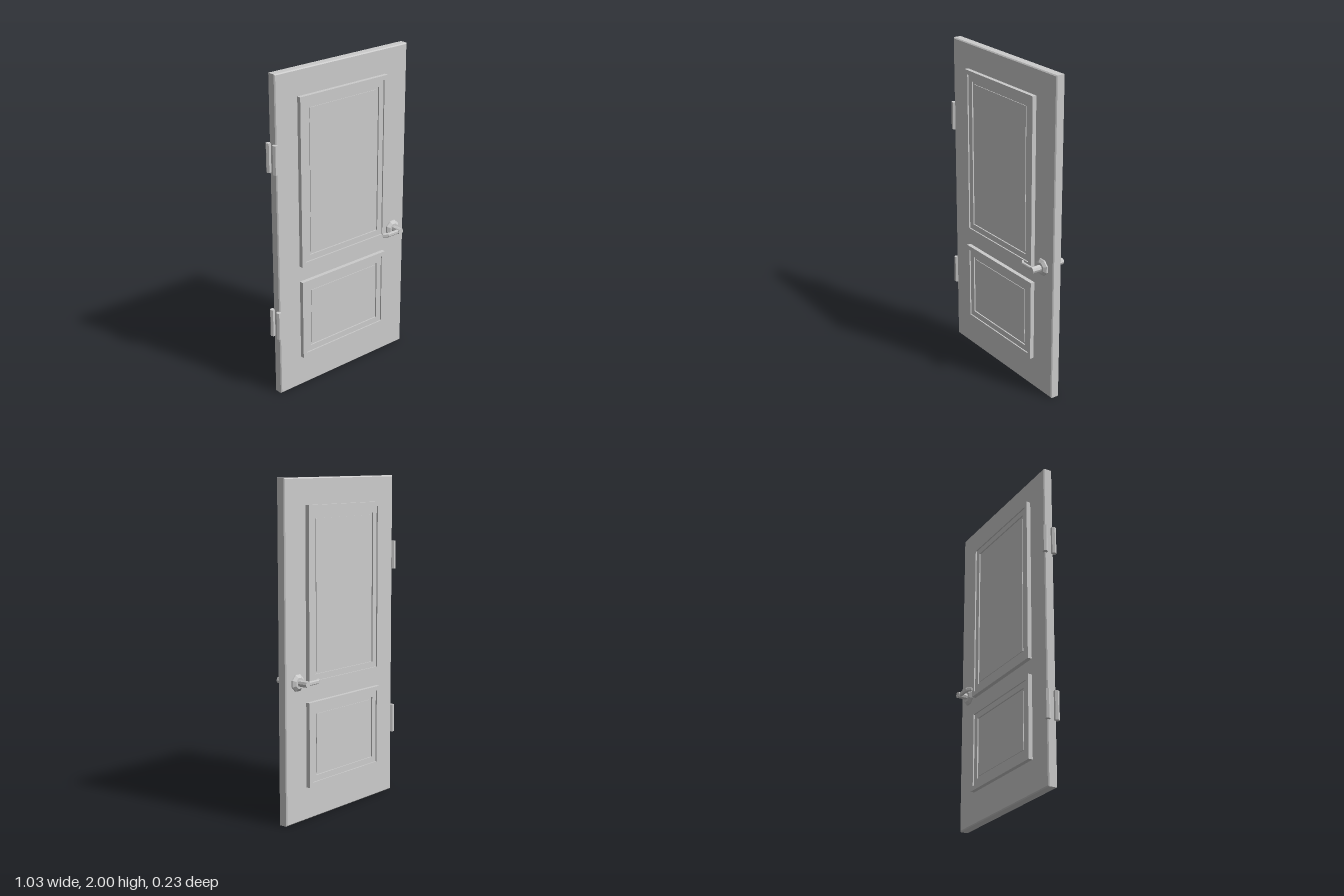
import * as THREE from 'three';

const material = new THREE.MeshStandardMaterial({ color: 0xcccccc, flatShading: true });

function add(parent, name, geometry, x = 0, y = 0, z = 0) {
  const mesh = new THREE.Mesh(geometry, material);
  mesh.name = name;
  mesh.position.set(x, y, z);
  parent.add(mesh);
  return mesh;
}

// Rectangle outline centred on the origin
function rect(w, h, Type = THREE.Shape) {
  const p = new Type();
  p.moveTo(-w / 2, -h / 2);
  p.lineTo(w / 2, -h / 2);
  p.lineTo(w / 2, h / 2);
  p.lineTo(-w / 2, h / 2);
  p.closePath();
  return p;
}

// Rectangular ring, inset per side, extruded along z
function ring(w, h, inset, depth) {
  const shape = rect(w, h);
  shape.holes.push(rect(w - 2 * inset, h - 2 * inset, THREE.Path));
  return new THREE.ExtrudeGeometry(shape, { depth, bevelEnabled: false });
}

// Stepped moulding around a recessed field
function makePanel(y0, y1) {
  const panel = new THREE.Group();
  const w = 0.67, h = y1 - y0;
  panel.position.set(-0.003, (y0 + y1) / 2, 0.025);
  add(panel, 'outerMoulding', ring(w, h, 0.027, 0.03));
  add(panel, 'middleMoulding', ring(w - 0.054, h - 0.054, 0.036, 0.022));
  add(panel, 'innerMoulding', ring(w - 0.126, h - 0.126, 0.014, 0.014));
  add(panel, 'panelField', new THREE.BoxGeometry(w - 0.154, h - 0.154, 0.018), 0, 0, 0.009);
  return panel;
}

// Octagonal rosette, stem and bent lever
function makeHandle() {
  const handle = new THREE.Group();
  handle.position.set(0.411, 0.835, 0);
  const profile = [[0, 0.025], [0.052, 0.025], [0.052, 0.037], [0.034, 0.051], [0, 0.051]]
    .map(([r, z]) => new THREE.Vector2(r, z));
  add(handle, 'rosette', new THREE.LatheGeometry(profile, 8, Math.PI / 8).rotateX(Math.PI / 2));
  add(handle, 'stem', new THREE.CylinderGeometry(0.02, 0.02, 0.067, 8).rotateX(Math.PI / 2), 0, 0, 0.079);
  const outline = [[0, 0.108], [-0.1, 0.108], [-0.131, 0.086], [-0.122, 0.075], [-0.095, 0.09], [0, 0.09]];
  const shape = new THREE.Shape(outline.map(([x, z]) => new THREE.Vector2(x, z)));
  const lever = new THREE.ExtrudeGeometry(shape, {
    depth: 0.014, bevelEnabled: true, bevelThickness: 0.005, bevelSize: 0.003, bevelOffset: -0.003, bevelSegments: 1,
  });
  add(handle, 'lever', lever.rotateX(Math.PI / 2), 0, 0.007, 0);
  return handle;
}

export function createModel() {
  const door = new THREE.Group();
  door.name = 'door';

  // Chamfered slab
  const slab = new THREE.ExtrudeGeometry(rect(1.005, 2), {
    depth: 0.046, bevelEnabled: true, bevelThickness: 0.006, bevelSize: 0.006, bevelOffset: -0.006, bevelSegments: 1,
  });
  add(door, 'slab', slab, 0.007, 1, -0.023);

  // Panels and handle on both faces; the back is a mirror in z
  for (const side of [1, -1]) {
    const face = new THREE.Group();
    face.name = side > 0 ? 'frontFittings' : 'backFittings';
    face.scale.z = side;
    const upper = makePanel(0.803, 1.845);
    upper.name = 'upperPanel';
    const lower = makePanel(0.197, 0.705);
    lower.name = 'lowerPanel';
    const handle = makeHandle();
    handle.name = 'handle';
    face.add(upper, lower, handle);
    door.add(face);
  }

  // Hinge knuckles on the right edge, one at each face
  for (const [name, y] of [['upperHinge', 1.51], ['lowerHinge', 0.468]]) {
    const hinge = new THREE.Group();
    hinge.name = name;
    hinge.position.set(-0.502, y, 0);
    for (const z of [0.028, -0.03]) {
      add(hinge, 'knuckle', new THREE.CylinderGeometry(0.016, 0.016, 0.174, 6).rotateY(Math.PI / 6), 0, 0, z);
    }
    door.add(hinge);
  }
  return door;
}
